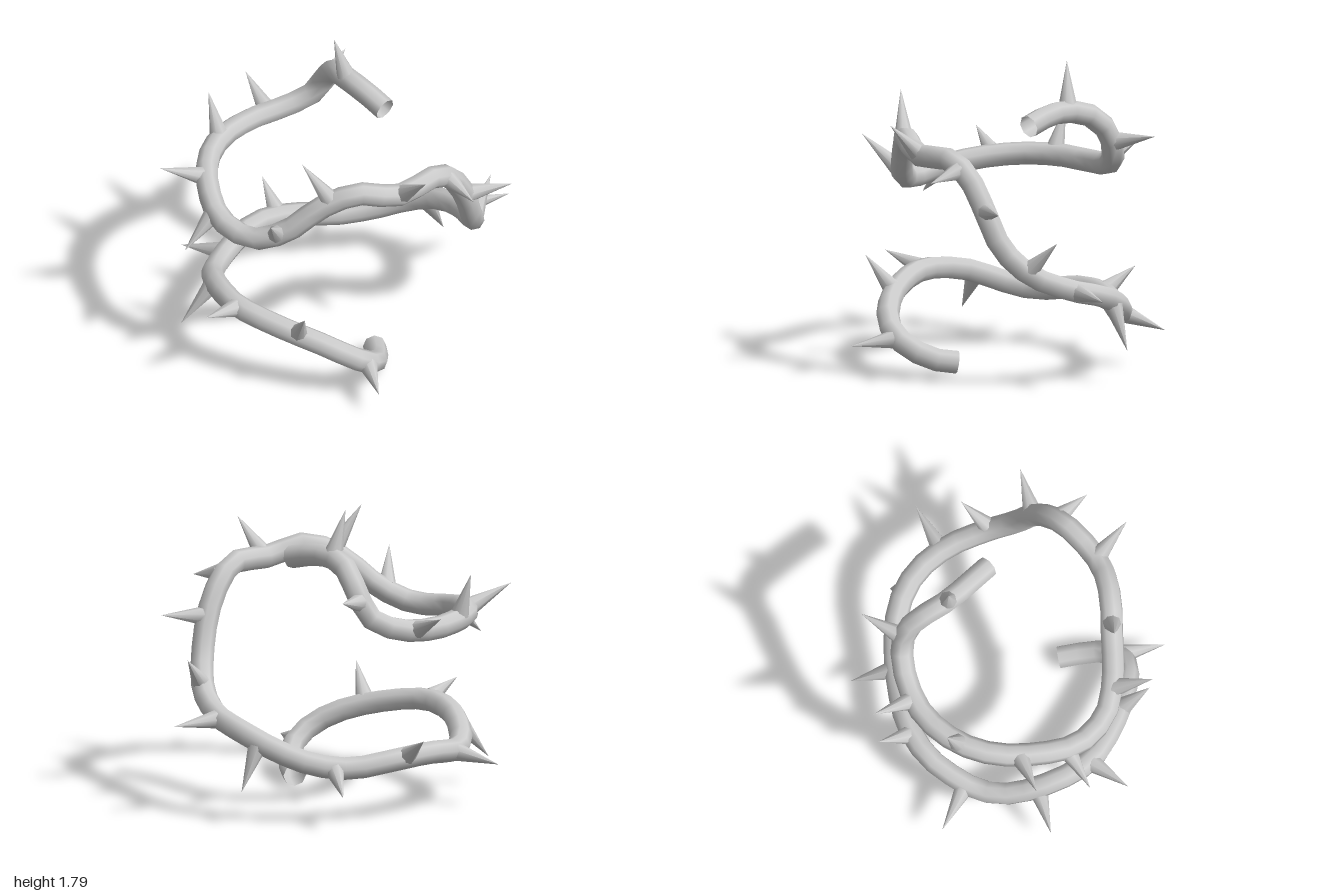
import * as THREE from 'three';

const RADIUS = 0.067;
const SIDES = 8;

// Centre line of the vine, from the lower end up to the upper end
const PATH = [
  [0.25, 0.075, 0.265], [0.285, 0.095, 0.39], [0.29, 0.175, 0.56], [0.2, 0.27, 0.665],
  [0.03, 0.36, 0.69], [-0.22, 0.43, 0.66], [-0.5, 0.472, 0.55], [-0.66, 0.445, 0.33],
  [-0.725, 0.365, 0.11], [-0.715, 0.33, -0.06], [-0.66, 0.35, -0.22], [-0.57, 0.375, -0.38],
  [-0.4, 0.365, -0.52], [-0.13, 0.33, -0.62], [0.1, 0.37, -0.67], [0.3, 0.45, -0.675],
  [0.48, 0.53, -0.605], [0.64, 0.59, -0.45], [0.74, 0.69, -0.23], [0.76, 0.85, -0.06],
  [0.735, 1.08, 0.05], [0.68, 1.24, 0.14], [0.61, 1.33, 0.25], [0.42, 1.325, 0.47],
  [0.2, 1.38, 0.57], [0, 1.29, 0.61], [-0.2, 1.12, 0.645], [-0.4, 1.03, 0.63],
  [-0.605, 1.045, 0.505], [-0.72, 1.09, 0.28], [-0.765, 1.115, 0.02], [-0.72, 1.12, -0.2],
  [-0.58, 1.115, -0.41], [-0.4, 1.14, -0.53], [-0.25, 1.22, -0.58], [-0.17, 1.37, -0.56],
  [-0.1, 1.48, -0.46], [-0.01, 1.515, -0.34], [0.1, 1.51, -0.25], [0.24, 1.47, -0.15],
];

// Thorns: root near the centre line, then tip
const THORNS = [
  [0.26, 0.22, 0.6, 0.38, 0.18, 0.87], [-0.13, 0.41, 0.65, -0.06, 0.635, 0.84],
  [-0.5, 0.47, 0.55, -0.65, 0.55, 0.8], [-0.68, 0.42, 0.28, -0.865, 0.18, 0.38],
  [-0.7, 0.34, -0.15, -0.97, 0.28, -0.24], [-0.45, 0.37, -0.49, -0.57, 0.51, -0.67],
  [-0.05, 0.34, -0.64, -0.12, 0.22, -0.9], [0.39, 0.48, -0.66, 0.48, 0.21, -0.755],
  [0.63, 0.58, -0.48, 0.88, 0.57, -0.665], [0.75, 0.71, -0.2, 0.82, 0.9, -0.39],
  [0.74, 1.07, 0.03, 1.0, 1.09, -0.07], [0.65, 1.28, 0.19, 0.845, 1.24, 0.345],
  [0.44, 1.33, 0.45, 0.61, 1.53, 0.61], [0.05, 1.34, 0.6, -0.11, 1.605, 0.64],
  [-0.25, 1.09, 0.64, -0.25, 1.31, 0.885], [-0.64, 1.06, 0.43, -0.805, 0.87, 0.6],
  [-0.75, 1.1, 0.18, -1.0, 1.23, 0.315], [-0.74, 1.12, -0.18, -0.81, 1.405, -0.235],
  [-0.5, 1.13, -0.47, -0.67, 1.24, -0.685], [-0.18, 1.3, -0.575, -0.11, 1.36, -0.84],
  [-0.02, 1.51, -0.35, -0.09, 1.8, -0.33],
];

export function createModel() {
  const model = new THREE.Group();
  model.name = 'thornyVine';

  // Winding stem, an open tube
  const curve = new THREE.CatmullRomCurve3(PATH.map(p => new THREE.Vector3(...p)), false, 'centripetal');
  const stem = new THREE.Mesh(
    new THREE.TubeGeometry(curve, 72, RADIUS, SIDES),
    new THREE.MeshStandardMaterial({ color: 0xcccccc, side: THREE.DoubleSide }),
  );
  stem.name = 'stem';
  model.add(stem);

  // Thorns, each rooted inside the stem
  const thornMaterial = new THREE.MeshStandardMaterial({ color: 0xcccccc });
  const up = new THREE.Vector3(0, 1, 0);
  const samples = curve.getSpacedPoints(600);
  const thorns = new THREE.Group();
  thorns.name = 'thorns';
  THORNS.forEach((t, i) => {
    const guess = new THREE.Vector3(t[0], t[1], t[2]);
    const tip = new THREE.Vector3(t[3], t[4], t[5]);
    const root = samples.reduce((a, b) => (b.distanceToSquared(guess) < a.distanceToSquared(guess) ? b : a));
    const dir = tip.clone().sub(root).normalize();
    const base = root.clone().addScaledVector(dir, 0.035);
    const length = base.distanceTo(tip);
    const cone = new THREE.ConeGeometry(0.054, length, SIDES);
    cone.translate(0, length / 2, 0);
    const thorn = new THREE.Mesh(cone, thornMaterial);
    thorn.name = `thorn${i + 1}`;
    thorn.position.copy(base);
    thorn.quaternion.setFromUnitVectors(up, dir);
    thorns.add(thorn);
  });
  model.add(thorns);
  return model;
}
